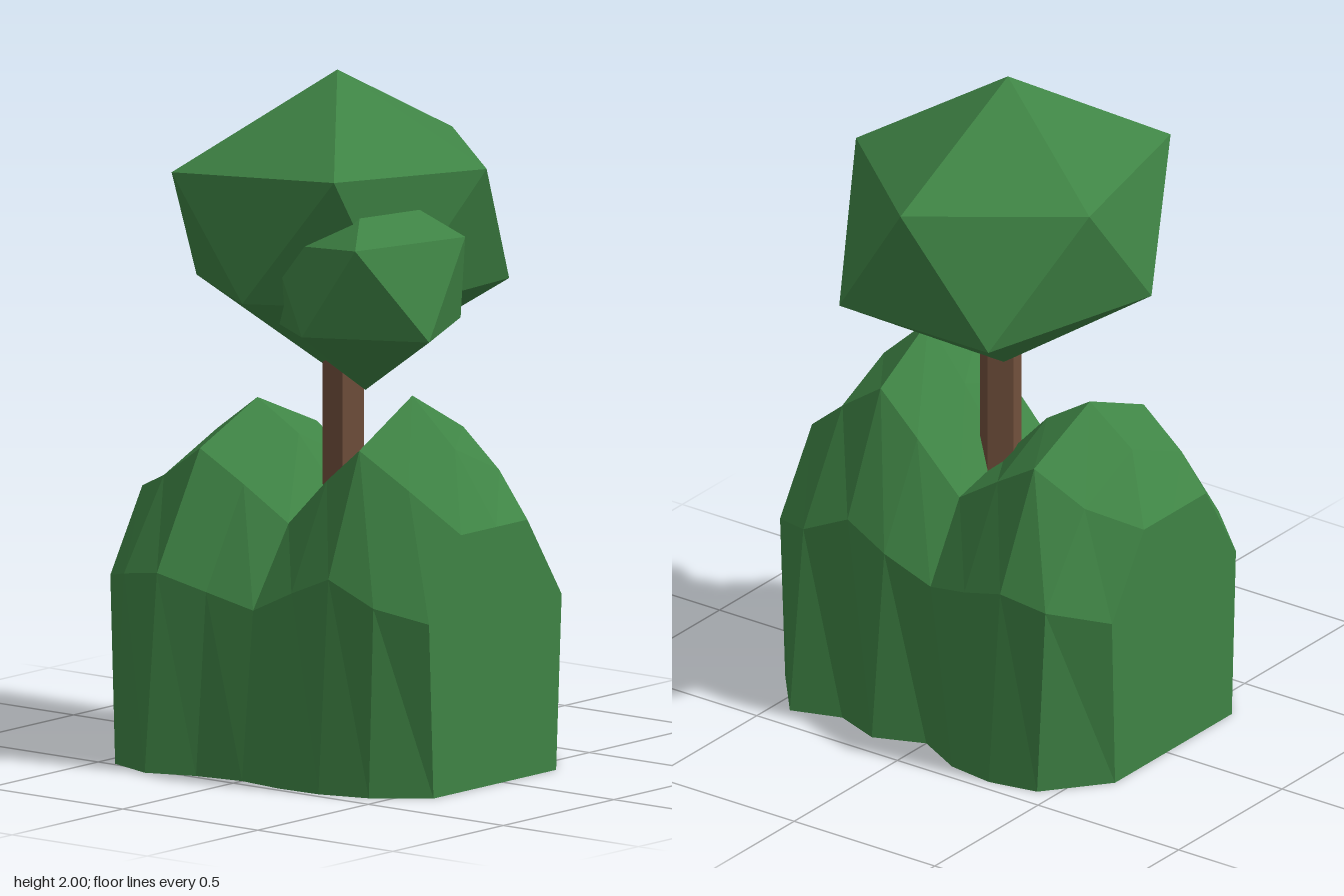
import * as THREE from 'three';
import { ConvexGeometry } from 'three/addons/geometries/ConvexGeometry.js';

const green = new THREE.MeshStandardMaterial({ color: 0x3f8445, side: THREE.DoubleSide, flatShading: true });
green.name = 'leaf green';
const brown = new THREE.MeshStandardMaterial({ color: 0x71503c, flatShading: true });
brown.name = 'bark brown';

// Hedge cross-sections from front to back:
// z, base left/right, mid left/right/height, shoulder left/right/height, top x/height
const SECTIONS = [
  [0.59, -0.315, 0.24, -0.335, 0.265, 0.51, -0.19, 0.11, 0.75, -0.03, 0.75],
  [0.445, -0.43, 0.415, -0.41, 0.35, 0.55, -0.25, 0.16, 0.87, -0.04, 0.96],
  [0.295, -0.475, 0.365, -0.43, 0.34, 0.62, -0.29, 0.18, 0.975, -0.05, 1.1],
  [0.15, -0.48, 0.42, -0.42, 0.36, 0.56, -0.26, 0.2, 0.865, -0.03, 0.95],
  [0, -0.46, 0.36, -0.41, 0.34, 0.49, -0.25, 0.2, 0.72, -0.02, 0.77],
  [-0.15, -0.485, 0.44, -0.44, 0.38, 0.53, -0.27, 0.22, 0.82, -0.02, 0.93],
  [-0.295, -0.54, 0.46, -0.485, 0.405, 0.575, -0.29, 0.24, 0.91, -0.03, 1.02],
  [-0.445, -0.49, 0.43, -0.45, 0.39, 0.55, -0.27, 0.2, 0.81, -0.03, 0.91],
  [-0.59, -0.315, 0.25, -0.335, 0.265, 0.51, -0.19, 0.11, 0.75, -0.03, 0.75],
];

// Open-bottomed shell lofted through the sections, closed at both ends
function hedgeGeometry() {
  const rings = SECTIONS.map(([z, bl, br, ml, mr, my, sl, sr, sy, tx, ty]) => [
    [bl, 0, z], [ml, my, z], [sl, sy, z], [tx, ty, z], [sr, sy, z], [mr, my, z], [br, 0, z],
  ]);
  const out = [];
  const tri = (a, b, c) => out.push(...a, ...b, ...c);
  for (let s = 0; s < rings.length - 1; s++) {
    for (let i = 0; i < 6; i++) {
      const [a, b, c, d] = [rings[s][i], rings[s][i + 1], rings[s + 1][i + 1], rings[s + 1][i]];
      tri(a, b, c);
      tri(a, c, d);
    }
  }
  const front = rings[0], back = rings[rings.length - 1];
  for (let i = 1; i < 6; i++) {
    tri(front[0], front[i + 1], front[i]);
    tri(back[0], back[i], back[i + 1]);
  }
  const g = new THREE.BufferGeometry();
  g.setAttribute('position', new THREE.Float32BufferAttribute(out, 3));
  g.computeVertexNormals();
  return g;
}

// Faceted leaf clump from twelve corner points
const clump = (points) => new ConvexGeometry(points.map((p) => new THREE.Vector3(...p)));

export function createModel() {
  const group = new THREE.Group();
  group.name = 'treeAndHedge';
  const add = (name, geometry, material) => {
    const mesh = new THREE.Mesh(geometry, material);
    mesh.name = name;
    group.add(mesh);
    return mesh;
  };

  add('hedge', hedgeGeometry(), green);

  // Five-sided trunk, running down through the hedge
  add('trunk', new THREE.CylinderGeometry(0.063, 0.063, 1.3, 5, 1, false, Math.PI / 2), brown)
    .position.set(0, 0.65, 0);

  add('largeCanopy', clump([
    [0.02, 2, -0.04],
    [-0.4, 1.73, -0.31], [-0.35, 1.76, 0.25], [0.17, 1.74, 0.39], [0.54, 1.755, -0.04], [0.17, 1.725, -0.44],
    [0.455, 1.36, 0.24], [0.455, 1.36, -0.29], [-0.11, 1.37, -0.455], [-0.41, 1.38, -0.04], [-0.12, 1.36, 0.28],
    [0.04, 1.1, -0.04],
  ]), green);

  add('smallCanopy', clump([
    [-0.11, 1.73, 0.17],
    [-0.37, 1.575, 0.345], [0, 1.575, 0.45], [0.185, 1.42, 0.16], [-0.04, 1.55, -0.1], [-0.33, 1.55, 0],
    [-0.2, 1.3, 0.48], [0.15, 1.3, 0.31], [-0.41, 1.31, 0.18], [-0.21, 1.3, -0.1], [0.11, 1.3, -0.02],
    [-0.11, 1.11, 0.17],
  ]), green);

  return group;
}
